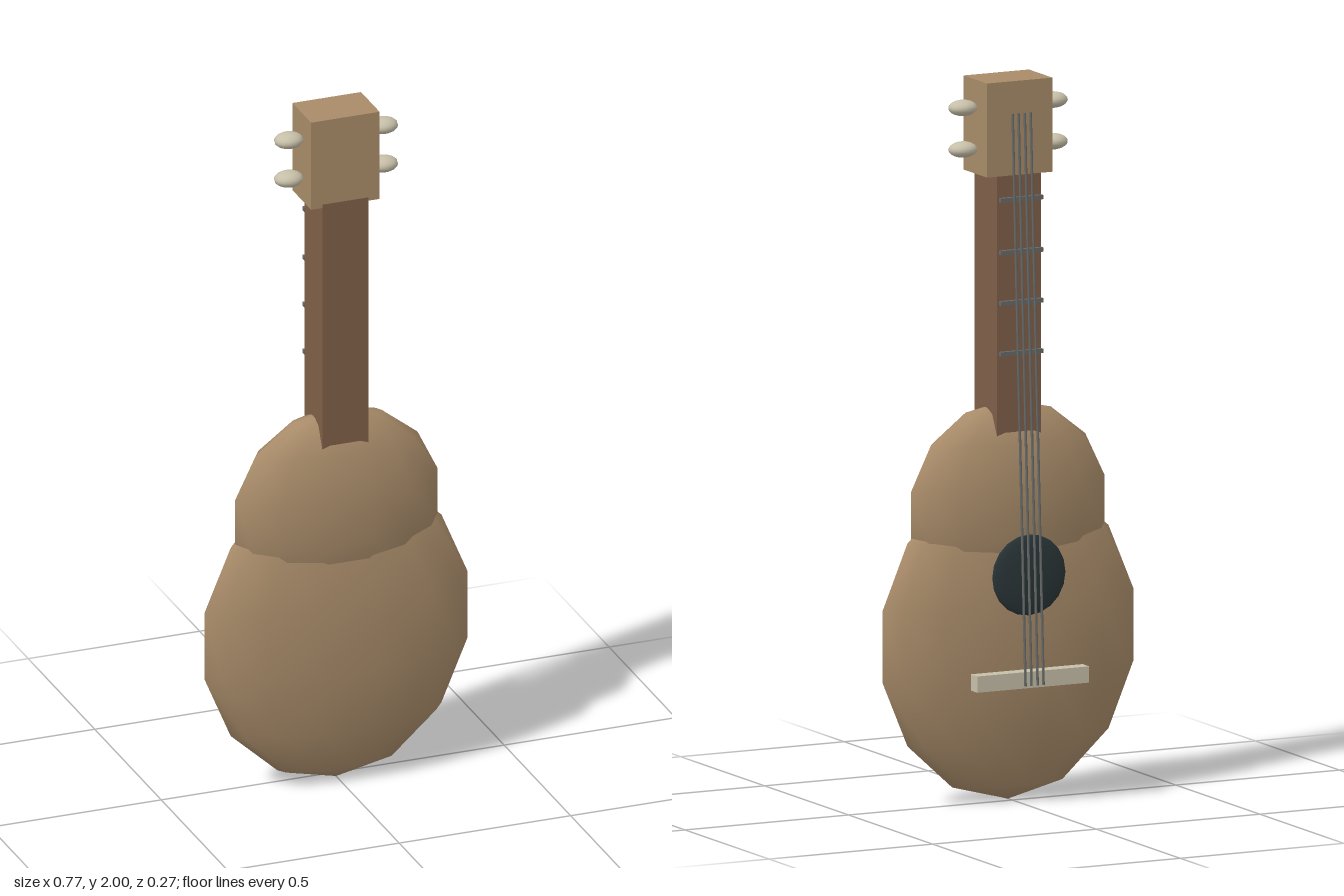
import * as THREE from 'three';

const material = (name, color) => {
  const m = new THREE.MeshStandardMaterial({ color });
  m.name = name;
  return m;
};

export function createModel() {
  const model = new THREE.Group();
  model.name = 'ukulele';

  const wood = material('tan wood', 0xa88b69);
  const darkWood = material('dark wood', 0x7f5f48);
  const ivory = material('ivory', 0xc6bfa8);
  const metal = material('grey metal', 0x666a68);
  const black = material('sound hole black', 0x2a3538);

  const add = (name, geometry, mat, x, y, z) => {
    const mesh = new THREE.Mesh(geometry, mat);
    mesh.name = name;
    mesh.position.set(x, y, z);
    model.add(mesh);
    return mesh;
  };
  const ellipsoid = (rx, ry, rz, w, h) => new THREE.SphereGeometry(1, w, h).scale(rx, ry, rz);

  // Body: two overlapping flattened bouts
  add('lowerBout', ellipsoid(0.393, 0.45, 0.116, 14, 7), wood, 0, 0.455, 0.025);
  add('upperBout', ellipsoid(0.303, 0.297, 0.108, 14, 7), wood, 0, 0.81, 0.027);

  // Neck and head
  add('neck', new THREE.BoxGeometry(0.134, 0.78, 0.135), darkWood, 0, 1.36, 0.0275);
  add('head', new THREE.BoxGeometry(0.2, 0.26, 0.14), wood, 0, 1.87, 0.025);

  // Tuning pegs, two on each side
  for (const side of [-1, 1]) {
    for (const y of [1.81, 1.925]) {
      add('tuningPeg', ellipsoid(0.041, 0.022, 0.035, 14, 10), ivory, side * 0.138, y, 0.025);
    }
  }

  // Frets on the playing side, which faces -z
  for (const y of [1.25, 1.39, 1.53, 1.675]) {
    add('fret', new THREE.BoxGeometry(0.129, 0.012, 0.012), metal, -0.001, y, -0.052);
  }

  // Sound hole and bridge
  add('soundHole', ellipsoid(0.112, 0.112, 0.014, 16, 10), black, 0, 0.643, -0.099);
  add('bridge', new THREE.BoxGeometry(0.342, 0.045, 0.039), ivory, 0, 0.358, -0.106);

  // Strings slope from the head down to the bridge
  const top = new THREE.Vector3(0, 1.912, -0.055);
  const bottom = new THREE.Vector3(0, 0.342, -0.132);
  const run = top.clone().sub(bottom);
  const mid = top.clone().add(bottom).multiplyScalar(0.5);
  for (const x of [-0.028, -0.01, 0.009, 0.027]) {
    const string = add('string', new THREE.CylinderGeometry(0.0035, 0.0035, run.length(), 6), metal, x, mid.y, mid.z);
    string.quaternion.setFromUnitVectors(new THREE.Vector3(0, 1, 0), run.clone().normalize());
  }

  return model;
}
